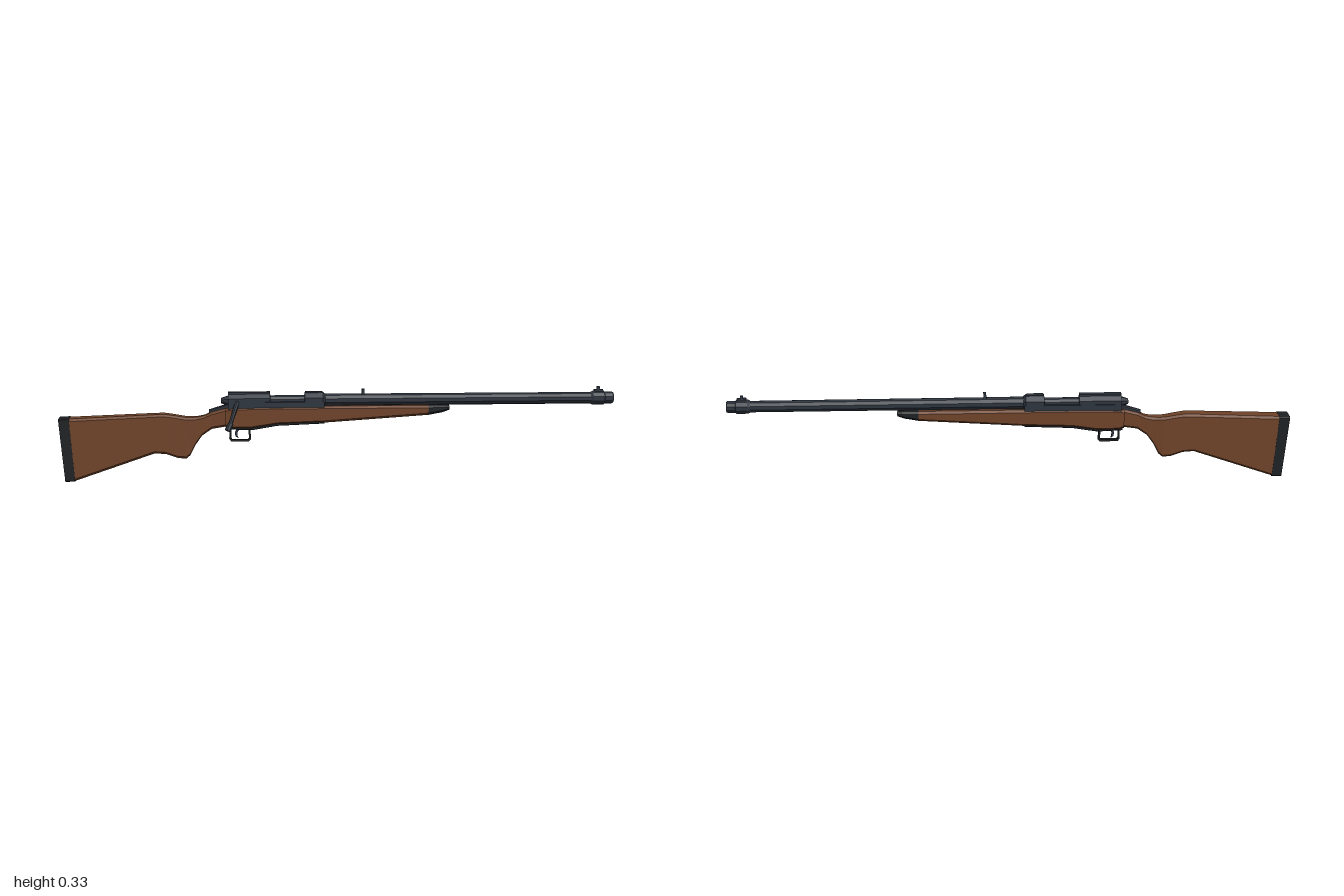
import * as THREE from 'three';

const ZC = -0.031, BORE = 0.288;
const mat = (color) => new THREE.MeshStandardMaterial({ color, flatShading: true });

// Loft of chamfered rectangles; each station is [xTop, yTop, xBottom, yBottom, halfWidth]
function loft(stations, chamfer = 0.008) {
  const pos = [], idx = [];
  for (const [xt, yt, xb, yb, w] of stations) {
    const h = yt - yb, c = Math.min(chamfer, h * 0.3), n = w - c;
    const ring = [[-w, c], [-w, h - c], [-n, h], [n, h], [w, h - c], [w, c], [n, 0], [-n, 0]];
    for (const [z, d] of ring) pos.push(xb + (xt - xb) * d / h, yb + d, ZC + z);
  }
  const last = (stations.length - 1) * 8;
  for (let i = 0; i < last; i += 8) {
    for (let j = 0; j < 8; j++) {
      const a = i + j, b = i + (j + 1) % 8;
      idx.push(a, b, b + 8, a, b + 8, a + 8);
    }
  }
  for (let j = 1; j < 7; j++) idx.push(0, j + 1, j, last, last + j, last + j + 1);
  const g = new THREE.BufferGeometry();
  g.setAttribute('position', new THREE.Float32BufferAttribute(pos, 3));
  g.setIndex(idx);
  const flat = g.toNonIndexed();
  flat.computeVertexNormals();
  return flat;
}

// Faceted body turned around the bore axis; points are [x, radius]
function turned(points, sides) {
  const g = new THREE.LatheGeometry(points.map(([x, r]) => new THREE.Vector2(r, x)), sides);
  return g.rotateY(Math.PI / sides).rotateZ(-Math.PI / 2).translate(0, BORE, ZC);
}

// Box given by its x and y ranges and full depth
function box(x0, x1, y0, y1, depth) {
  return new THREE.BoxGeometry(x1 - x0, y1 - y0, depth)
    .translate((x0 + x1) / 2, (y0 + y1) / 2, ZC);
}

// Round bar between two points
function bar(a, b, r0, r1, sides = 8) {
  const from = new THREE.Vector3(...a), to = new THREE.Vector3(...b);
  const dir = to.clone().sub(from);
  const g = new THREE.CylinderGeometry(r1, r0, dir.length(), sides);
  g.applyQuaternion(new THREE.Quaternion().setFromUnitVectors(new THREE.Vector3(0, 1, 0), dir.normalize()));
  return g.translate(...from.add(to).multiplyScalar(0.5).toArray());
}

export function createModel() {
  const model = new THREE.Group();
  const wood = mat(0x6e4228), metal = mat(0x2d343e), dark = mat(0x1d2023);
  const add = (name, geometry, material) => {
    const mesh = new THREE.Mesh(geometry, material);
    mesh.name = name;
    model.add(mesh);
  };

  // Butt, pistol grip and wrist
  add('buttStock', loft([
    [-0.962, 0.230, -0.946, 0.004, 0.031],
    [-0.66, 0.242, -0.66, 0.101, 0.027],
    [-0.625, 0.243, -0.62, 0.098, 0.026],
    [-0.59, 0.238, -0.578, 0.083, 0.025],
    [-0.55, 0.231, -0.548, 0.080, 0.024],
    [-0.525, 0.230, -0.533, 0.092, 0.022],
    [-0.505, 0.231, -0.515, 0.128, 0.020],
    [-0.48, 0.236, -0.49, 0.163, 0.019],
    [-0.455, 0.248, -0.455, 0.187, 0.018],
    [-0.395, 0.264, -0.395, 0.197, 0.020],
  ]), wood);
  add('buttPad', loft([
    [-1.0, 0.230, -0.981, 0.002, 0.031],
    [-0.962, 0.231, -0.946, 0.002, 0.0315],
  ], 0.003), dark);

  // Fore stock and its tip
  add('foreStock', loft([
    [-0.405, 0.262, -0.405, 0.195, 0.029],
    [-0.385, 0.266, -0.385, 0.190, 0.032],
    [-0.31, 0.268, -0.31, 0.189, 0.032],
    [-0.22, 0.269, -0.22, 0.203, 0.032],
    [-0.05, 0.269, -0.05, 0.209, 0.032],
    [0.325, 0.269, 0.325, 0.234, 0.032],
  ]), wood);
  add('foreTip', loft([
    [0.325, 0.269, 0.325, 0.234, 0.032],
    [0.375, 0.269, 0.375, 0.243, 0.031],
    [0.40, 0.268, 0.40, 0.252, 0.028],
  ]), dark);

  // Magazine floor plate
  add('floorPlate', loft([
    [-0.40, 0.200, -0.40, 0.187, 0.026],
    [-0.31, 0.200, -0.31, 0.184, 0.028],
    [-0.22, 0.212, -0.22, 0.199, 0.028],
    [-0.05, 0.214, -0.05, 0.206, 0.028],
  ], 0.002), dark);

  // Barrel with collar at the muzzle
  add('barrel', turned([[-0.06, 0], [-0.06, 0.023], [0.1, 0.022], [0.945, 0.021], [0.945, 0]], 10), metal);
  add('muzzleCollar', turned([
    [0.915, 0.020], [0.925, 0.026], [0.965, 0.026], [0.968, 0.022], [0.995, 0.022],
    [1.0, 0.019], [1.0, 0.013], [0.985, 0.012], [0.985, 0],
  ], 10), metal);

  // Receiver: rear bridge, open middle with bolt, front ring
  add('receiverBed', box(-0.395, -0.05, 0.25, 0.285, 0.056), metal);
  add('rearBridge', turned([[-0.395, 0], [-0.395, 0.027], [-0.245, 0.027], [-0.24, 0]], 8), metal);
  add('boltBody', turned([[-0.25, 0], [-0.25, 0.018], [-0.11, 0.018], [-0.11, 0]], 10), metal);
  add('frontRing', turned([[-0.125, 0], [-0.12, 0.030], [-0.055, 0.030], [-0.045, 0.022], [-0.045, 0]], 8), metal);
  add('boltShroud', turned([[-0.42, 0], [-0.42, 0.010], [-0.39, 0.020], [-0.39, 0]], 8), metal);
  add('tang', loft([
    [-0.465, 0.256, -0.465, 0.240, 0.006],
    [-0.39, 0.278, -0.39, 0.255, 0.012],
  ], 0.003), metal);

  // Mounting rails on the receiver
  for (const [x0, x1] of [[-0.395, -0.245], [-0.118, -0.058]]) {
    add('mountRail', box(x0, x1, 0.308, 0.319, 0.022), metal);
  }

  // Bolt handle and knob
  add('boltHandle', bar([-0.362, 0.285, -0.012], [-0.388, 0.212, 0.050], 0.0085, 0.007), metal);
  add('boltKnob', bar([-0.385, 0.218, 0.047], [-0.397, 0.194, 0.057], 0.010, 0.011), metal);

  // Trigger guard as a rounded loop, with the trigger inside
  const loop = [[-0.392, 0.188], [-0.393, 0.150], [-0.386, 0.139], [-0.322, 0.139], [-0.314, 0.147], [-0.318, 0.188]];
  const inner = [[-0.325, 0.188], [-0.321, 0.150], [-0.326, 0.146], [-0.382, 0.146], [-0.386, 0.152], [-0.385, 0.188]];
  const guard = new THREE.Shape([...loop, ...inner].map((p) => new THREE.Vector2(...p)));
  add('triggerGuard', new THREE.ExtrudeGeometry(guard, { depth: 0.014, bevelEnabled: false })
    .translate(0, 0, ZC - 0.007), dark);
  const blade = new THREE.Shape([
    [-0.362, 0.195], [-0.372, 0.172], [-0.371, 0.158], [-0.360, 0.151],
    [-0.363, 0.159], [-0.364, 0.170], [-0.350, 0.195],
  ].map((p) => new THREE.Vector2(...p)));
  add('trigger', new THREE.ExtrudeGeometry(blade, { depth: 0.008, bevelEnabled: false })
    .translate(0, 0, ZC - 0.004), metal);

  // Sights
  add('rearSight', box(0.085, 0.095, 0.305, 0.327, 0.022), metal);
  add('frontSightBase', box(0.93, 0.962, 0.308, 0.319, 0.014), metal);
  add('frontSightBlade', box(0.94, 0.950, 0.315, 0.329, 0.008), metal);

  return model;
}
